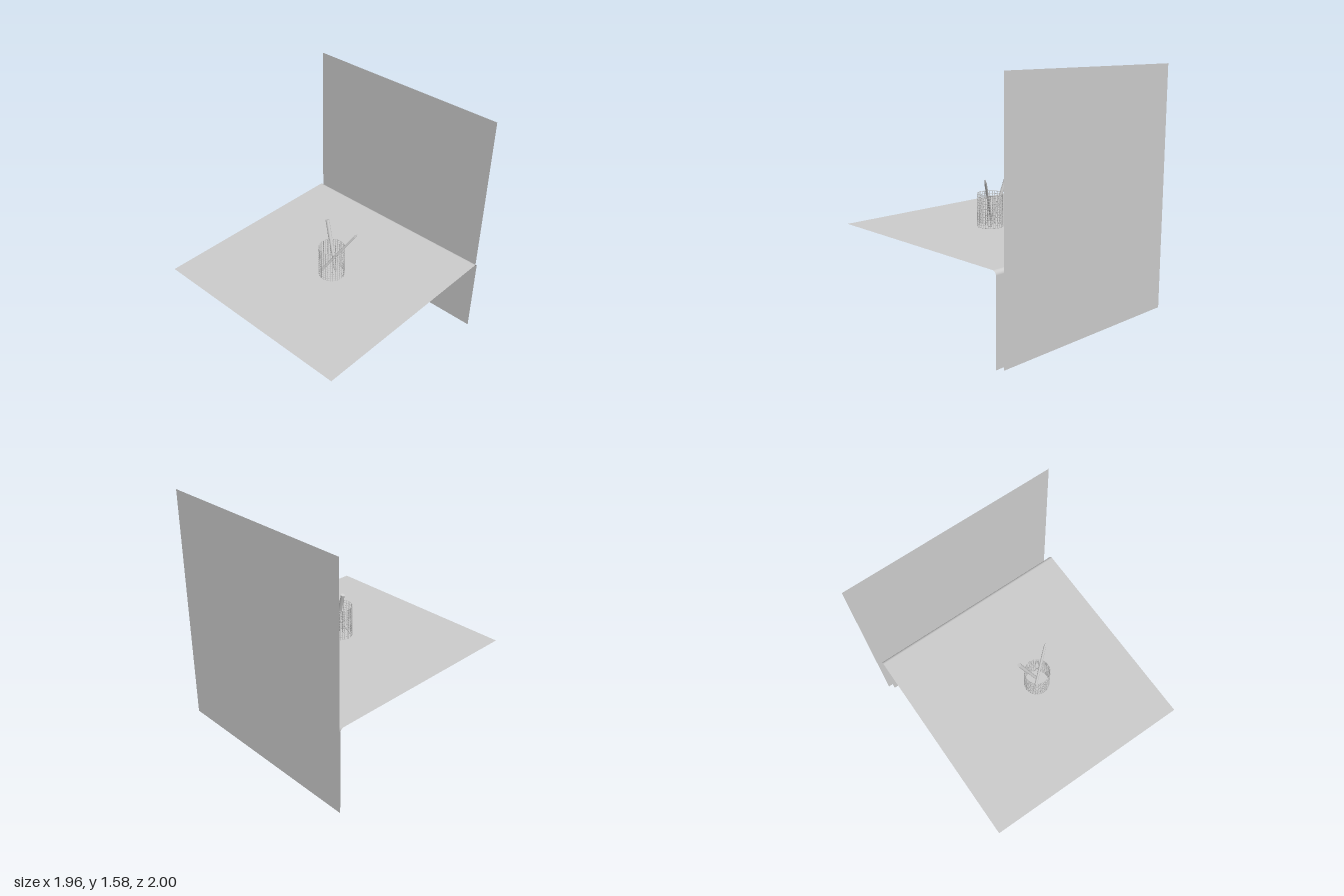
import * as THREE from 'three';
import { mergeGeometries } from 'three/addons/utils/BufferGeometryUtils.js';

const material = new THREE.MeshStandardMaterial({ color: 0xcccccc, side: THREE.DoubleSide });
const SIZE = 1.397, DESK_Y = 0.55, BEND = 0.025;

function addMesh(parent, name, geometry) {
  const mesh = new THREE.Mesh(geometry, material);
  mesh.name = name;
  parent.add(mesh);
  return mesh;
}

// Thin sheet: flat top, rounded bend at the back, apron down to the floor
function deskGeometry() {
  const back = -SIZE / 2, arc = 10;
  const profile = [[0, back]];
  for (let i = 0; i <= arc; i++) {
    const a = (i / arc) * Math.PI / 2;
    profile.push([DESK_Y - BEND + BEND * Math.sin(a), back + BEND - BEND * Math.cos(a)]);
  }
  profile.push([DESK_Y, SIZE / 2]);
  const geo = new THREE.PlaneGeometry(SIZE, 1, 1, profile.length - 1);
  const pos = geo.attributes.position;
  for (let i = 0; i < pos.count; i++) {
    const [y, z] = profile[Math.floor(i / 2)];
    pos.setY(i, y);
    pos.setZ(i, z);
  }
  geo.computeVertexNormals();
  return geo;
}

// Wire cup: hoops crossed by upright wires
function cupGeometry(radius, height) {
  const wire = 0.0018, hoops = 13, uprights = 32, parts = [];
  for (let i = 0; i < hoops; i++) {
    const y = wire + (height - 2 * wire) * i / (hoops - 1);
    parts.push(new THREE.TorusGeometry(radius - wire, wire, 4, 32).rotateX(Math.PI / 2).translate(0, y, 0));
  }
  for (let i = 0; i < uprights; i++) {
    const a = (i / uprights) * Math.PI * 2;
    parts.push(new THREE.CylinderGeometry(wire, wire, height, 4)
      .translate((radius - wire) * Math.cos(a), height / 2, (radius - wire) * Math.sin(a)));
  }
  return mergeGeometries(parts);
}

// Turned stick leaning from one point to another; profile is [radius, fraction of length]
function addStick(parent, name, from, to, profile, sides) {
  const a = new THREE.Vector3(...from), dir = new THREE.Vector3(...to).sub(a);
  const length = dir.length();
  const pieces = [];
  for (let i = 1; i < profile.length; i++) {
    const pair = [profile[i - 1], profile[i]];
    pieces.push(new THREE.LatheGeometry(pair.map(([r, t]) => new THREE.Vector2(r, t * length)), sides));
  }
  const stick = addMesh(parent, name, mergeGeometries(pieces));
  stick.position.copy(a);
  stick.quaternion.setFromUnitVectors(new THREE.Vector3(0, 1, 0), dir.normalize());
}

export function createModel() {
  const model = new THREE.Group();
  model.name = 'deskWithPenCup';

  // Desk and partition stand turned about the vertical axis
  const workstation = new THREE.Group();
  workstation.name = 'workstation';
  workstation.position.set(-0.004, 0, 0.02);
  workstation.rotation.y = -THREE.MathUtils.degToRad(37.25);
  model.add(workstation);
  addMesh(workstation, 'desk', deskGeometry());
  addMesh(workstation, 'partition', new THREE.PlaneGeometry(SIZE, 1.576))
    .position.set(-0.028, 0.788, -SIZE / 2 - 0.0325);

  // Cup with a pencil and a marker
  const penCup = new THREE.Group();
  penCup.name = 'penCup';
  model.add(penCup);
  addMesh(penCup, 'wireCup', cupGeometry(0.085, 0.214)).position.set(0.036, DESK_Y, 0.08);
  addStick(penCup, 'pencil', [-0.039, 0.557, 0.084], [0.195, 0.878, 0.084],
    [[0, 0], [0.008, 0], [0.008, 0.93], [0.002, 1], [0, 1]], 8);
  addStick(penCup, 'marker', [0.063, 0.556, 0.073], [-0.003, 0.893, -0.028],
    [[0, 0], [0.004, 0], [0.01, 0.06], [0.01, 0.65], [0.0125, 0.65], [0.0125, 1], [0, 1]], 16);

  return model;
}
